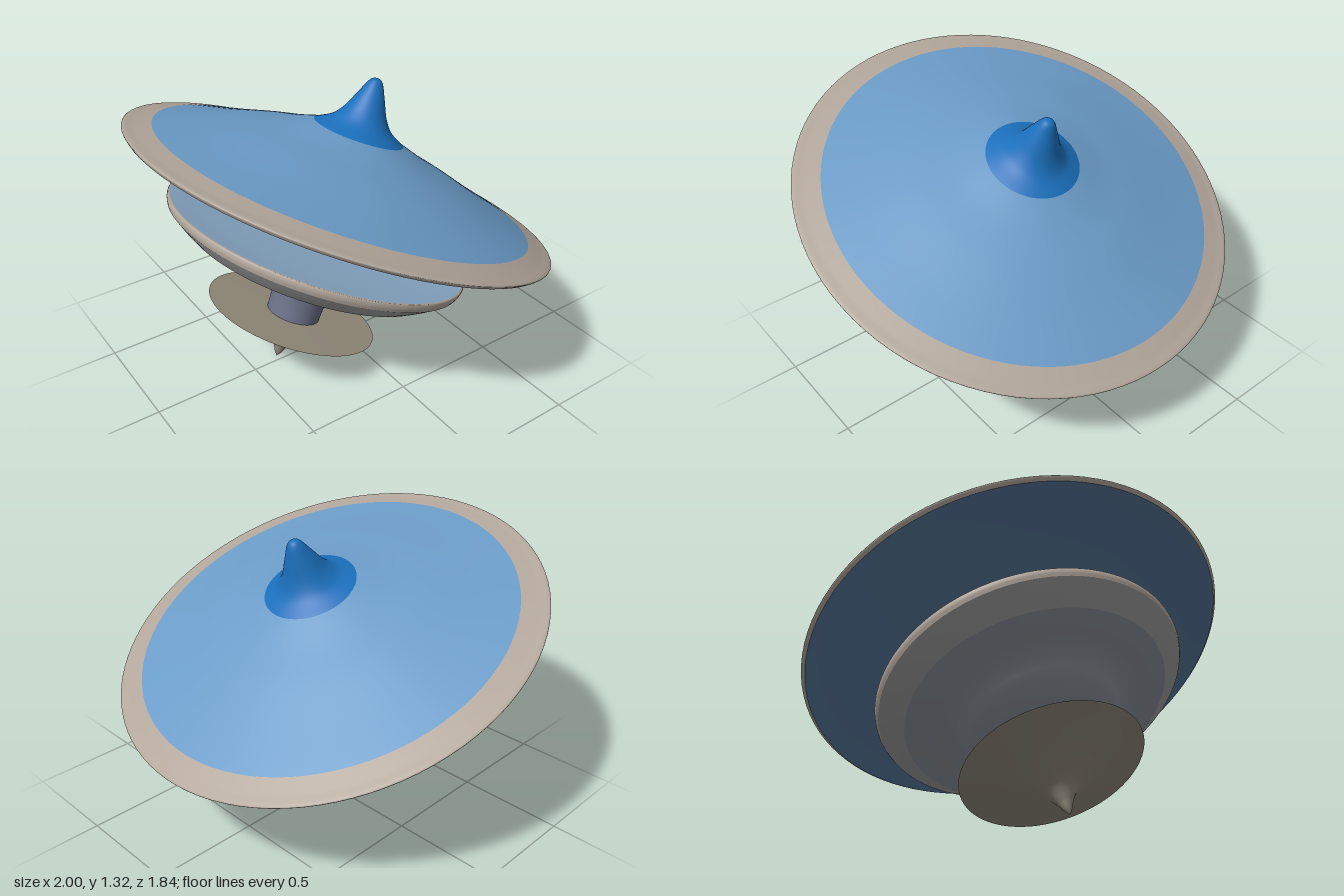
import * as THREE from 'three';

const SEGMENTS = 96;

// Smooth curve through [radius, height] points
function smooth(points, samples = 6) {
  const curve = new THREE.CatmullRomCurve3(
    points.map(([r, h]) => new THREE.Vector3(r, h, 0)), false, 'centripetal');
  return curve.getPoints((points.length - 1) * samples)
    .map((p) => new THREE.Vector2(Math.max(p.x, 0), p.y));
}

// Surface of revolution; profiles run up the outside so faces point outward
function turned(name, color, points) {
  const geometry = new THREE.LatheGeometry(smooth(points), SEGMENTS);
  const mesh = new THREE.Mesh(geometry, new THREE.MeshStandardMaterial({ color }));
  mesh.name = name;
  return mesh;
}

function section(name, x, z, ...parts) {
  const group = new THREE.Group();
  group.name = name;
  group.position.set(x, 0, z);
  group.add(...parts);
  return group;
}

export function createModel() {
  const SKY = 0x6b9cc8, BLUE = 0x1b70bd, RIM = 0xb3a79c, STONE = 0x8b9099, EARTH = 0x8f877a;

  // Wide upper disc with a pointed peak and a stepped ring underneath
  const upper = section('upperDisc', 0, 0,
    turned('upperPeak', BLUE, [[0.21, 0.243], [0.14, 0.285], [0.1, 0.335],
      [0.06, 0.42], [0.027, 0.485], [0.012, 0.495], [0, 0.497]]),
    turned('upperTop', SKY, [[0.88, 0.035], [0.7, 0.088], [0.5, 0.152], [0.35, 0.195], [0.21, 0.243]]),
    turned('upperRim', RIM, [[0.985, -0.018], [1, 0], [0.95, 0.015], [0.88, 0.035]]),
    turned('upperUnderside', 0x56789c, [[0.465, 0.03], [0.7, 0.02], [0.9, 0], [0.985, -0.018]]),
    turned('undersideRing', 0x5d86b0, [[0.21, -0.09], [0.24, -0.072], [0.32, -0.068],
      [0.41, -0.068], [0.448, -0.045], [0.455, -0.01], [0.465, 0.03]]),
  );

  // Flared column between the upper and middle discs
  const column = section('upperColumn', 0, 0.01,
    turned('column', 0x8a8784, [[0.16, -0.29], [0.165, -0.24], [0.178, -0.18], [0.192, -0.13], [0.215, -0.085]]),
  );

  // Middle bowl-like disc
  const middle = section('middleDisc', -0.015, 0.02,
    turned('middleTop', 0x8fb0cf, [[0.7, -0.248], [0.55, -0.26], [0.3, -0.27], [0, -0.272]]),
    turned('middleRim', RIM, [[0.7, -0.29], [0.709, -0.268], [0.708, -0.25], [0.7, -0.248]]),
    turned('middleBevel', 0x9a9a9a, [[0.6, -0.366], [0.65, -0.33], [0.7, -0.29]]),
    turned('middleUnderside', STONE, [[0, -0.525], [0.13, -0.522], [0.22, -0.51], [0.32, -0.467],
      [0.38, -0.415], [0.44, -0.39], [0.52, -0.38], [0.6, -0.366]]),
  );

  // Short post between the middle and lower discs
  const post = section('lowerPost', -0.02, 0,
    turned('post', 0x6a6f86, [[0.127, -0.69], [0.132, -0.6], [0.145, -0.515]]),
  );

  // Small lower disc narrowing to a point
  const lower = section('lowerDisc', -0.03, 0,
    turned('lowerPoint', EARTH, [[0, -0.932], [0.018, -0.905], [0.034, -0.87], [0.075, -0.812],
      [0.18, -0.755], [0.3, -0.715], [0.408, -0.685]]),
    turned('lowerTop', 0x9c9482, [[0.408, -0.685], [0.2, -0.684], [0, -0.683]]),
  );

  // The whole stack leans backward on one shared axis
  const stack = new THREE.Group();
  stack.name = 'tiltedStack';
  stack.rotation.x = -0.401;
  stack.position.y = 0.86;
  stack.add(upper, column, middle, post, lower);

  const model = new THREE.Group();
  model.name = 'floatingDiscs';
  model.add(stack);
  return model;
}
